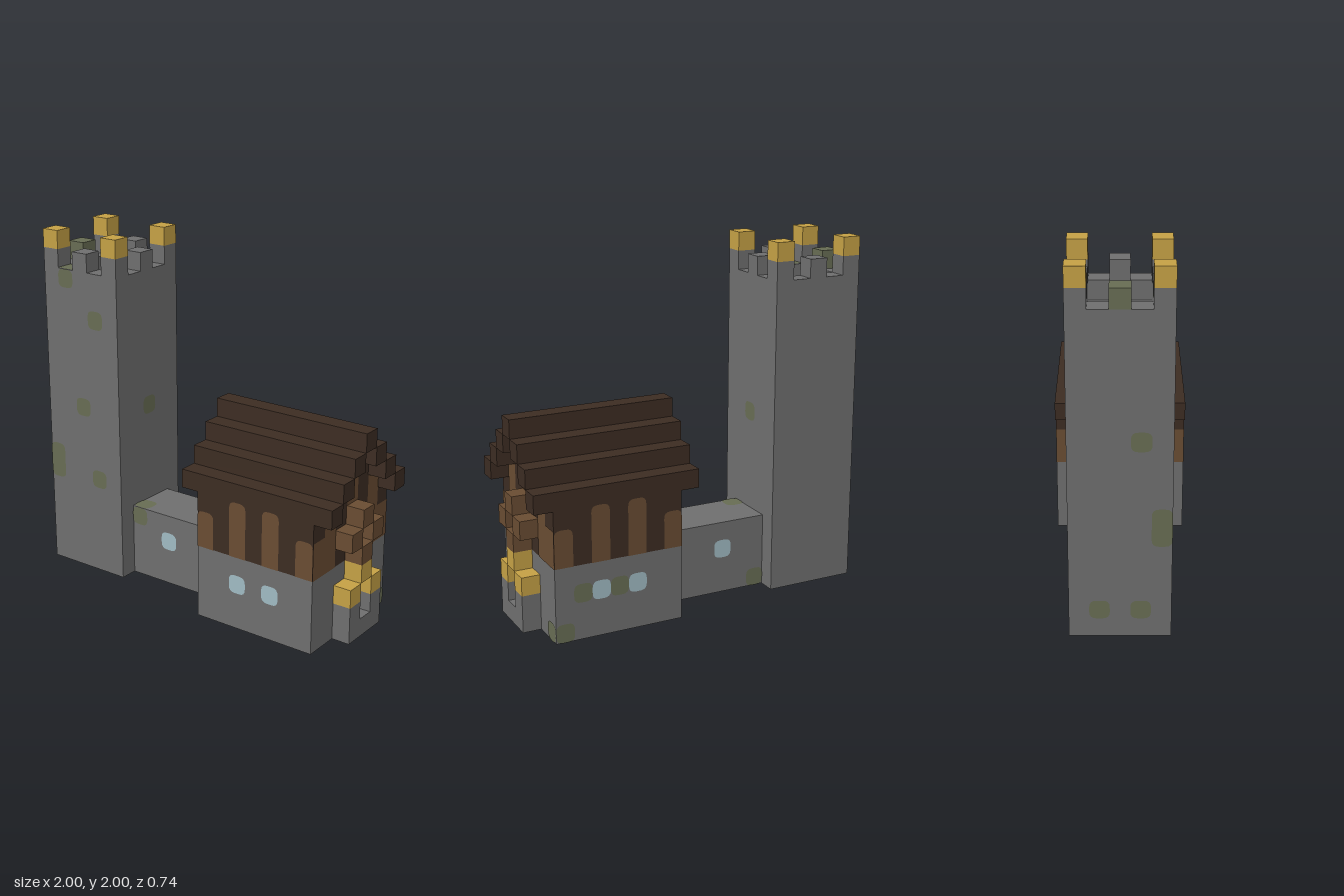
import * as THREE from 'three';

const material = (name, color) => {
  const m = new THREE.MeshStandardMaterial({ color });
  m.name = name;
  return m;
};

export function createModel() {
  const stone = material('stone', 0x6e6e6e);
  const gold = material('gold', 0xc4a045);
  const wood = material('wood', 0x694c32);
  const darkWood = material('darkWood', 0x3c2c22);
  const glass = material('glass', 0x9fbac2);
  const blue = material('blue', 0x3558ba);
  const moss = material('moss', 0x676c53);

  // Everything is laid out in blocks: 19 blocks = 2 units, x from 0 to 19, z centred.
  const model = new THREE.Group();
  model.name = 'castle';
  const blocks = new THREE.Group();
  blocks.name = 'blocks';
  blocks.scale.setScalar(2 / 19);
  blocks.position.x = -1;
  model.add(blocks);

  const box = (name, mat, x0, x1, y0, y1, z0, z1) => {
    const mesh = new THREE.Mesh(new THREE.BoxGeometry(x1 - x0, y1 - y0, z1 - z0), mat);
    mesh.position.set((x0 + x1) / 2, (y0 + y1) / 2, (z0 + z1) / 2);
    mesh.name = name;
    blocks.add(mesh);
  };
  const cube = (name, mat, x, y, z) => box(name, mat, x, x + 1, y, y + 1, z - 0.5, z + 0.5);

  // Flat panel with rounded top corners (rt) and bottom corners (rb)
  const panelShape = (w, h, rt, rb) => {
    const s = new THREE.Shape();
    const x = w / 2, y = h / 2;
    s.moveTo(-x + rb, -y);
    s.lineTo(x - rb, -y);
    s.quadraticCurveTo(x, -y, x, -y + rb);
    s.lineTo(x, y - rt);
    s.quadraticCurveTo(x, y, x - rt, y);
    s.lineTo(-x + rt, y);
    s.quadraticCurveTo(-x, y, -x, y - rt);
    s.lineTo(-x, -y + rb);
    s.quadraticCurveTo(-x, -y, -x + rb, -y);
    return s;
  };
  const turns = {
    front: [0, 0], back: [0, Math.PI], right: [0, Math.PI / 2],
    left: [0, -Math.PI / 2], top: [-Math.PI / 2, 0], bottom: [Math.PI / 2, 0],
  };
  // Panel lying just off a wall, centred on x, y, z
  const panel = (name, mat, face, x, y, z, w = 1, h = 1, rt = 0.35, rb = rt) => {
    const mesh = new THREE.Mesh(new THREE.ShapeGeometry(panelShape(w, h, rt, rb), 4), mat);
    mesh.rotation.set(turns[face][0], turns[face][1], 0);
    mesh.position.set(x, y, z);
    mesh.translateZ(0.03);
    mesh.name = name;
    blocks.add(mesh);
  };

  // Tower with a sunken roof deck
  box('towerBody', stone, 0, 5, 0, 16, -2.5, 2.5);
  for (const s of [-1, 1]) {
    box('parapet', stone, 0, 5, 16, 17, s * 2 - 0.5, s * 2 + 0.5);
    box('parapet', stone, s < 0 ? 0 : 4, s < 0 ? 1 : 5, 16, 17, -1.5, 1.5);
    panel('deckTile', blue, 'top', 1.5, 16, s, 1, 1, 0);
    cube('merlon', stone, 2, 17, s * 2);
    for (const x of [0, 4]) {
      cube('cornerMerlon', stone, x, 17, s * 2);
      cube('cornerCap', gold, x, 18, s * 2);
    }
  }
  cube('merlon', moss, 0, 17, 0);
  cube('merlon', stone, 4, 17, 0);

  // Low passage and the stone ground floor of the hall
  box('passage', stone, 5, 11, 0, 4, -1.5, 1.5);
  box('hallBase', stone, 11, 18, 0, 4, -3.5, 3.5);

  // Timber storey with stepped gables, and the stepped roof
  for (let k = -3; k <= 3; k++) {
    const top = 10 - Math.abs(k);
    box('timberWall', darkWood, 11, 18, 4, top, k - 0.5, k + 0.5);
    box('roofStep', darkWood, 10, 19, top, top + 1, k - 0.5, k + 0.5);
    // Light posts on both gables
    if (Math.abs(k) === 1) continue;
    const end = Math.abs(k) === 3 ? 6 : top;
    for (const [face, x] of [['right', 18], ['left', 11]]) {
      panel('gablePost', wood, face, x, (4 + end) / 2, k, 1, end - 4, 0);
    }
  }

  // Posts and windows on the two long sides
  for (const [face, s] of [['front', 1], ['back', -1]]) {
    for (const [x, h] of [[11, 2], [13, 3], [15, 3], [17, 2]]) {
      panel('wallPost', wood, face, x + 0.5, 4 + h / 2, s * 3.5, 1, h, 0.35, 0);
    }
    for (const x of [13.5, 15.5]) panel('hallWindow', glass, face, x, 2.5, s * 3.5);
    panel('passageWindow', glass, face, 7.5, 2.5, s * 1.5);
  }

  // Entrance: step, pillars, golden arch and door
  box('step', stone, 18, 19, 0, 1, -1.5, 1.5);
  panel('door', wood, 'right', 18, 2, 0, 1, 2, 0);
  cube('archTop', gold, 18, 3, 0);
  for (const s of [-1, 1]) {
    cube('pillar', stone, 18, 1, s);
    cube('archSide', gold, 18, 2, s);
    cube('windowFrameSide', wood, 18, 5, s);
  }
  // Gable window and its frame
  cube('windowFrameBottom', wood, 18, 4, 0);
  cube('windowFrameTop', wood, 18, 6, 0);
  panel('gableWindow', glass, 'right', 18.03, 5.5, 0, 1, 1, 0);

  // Moss patches: front and back by [x, y, z plane], ends by [y, z]
  for (const [x, y, z] of [[1, 16, 2.5], [3, 14, 2.5], [2, 9, 2.5], [3, 5, 2.5], [5, 3, 1.5], [10, 2, 1.5]]) {
    panel('mossPatch', moss, 'front', x + 0.5, y + 0.5, z);
  }
  panel('mossPatch', moss, 'front', 0.5, 6, 2.5, 1, 2);
  for (const [x, y, z] of [[17, 0, -3.5], [16, 2, -3.5], [14, 2, -3.5], [5, 0, -1.5]]) {
    panel('mossPatch', moss, 'back', x + 0.5, y + 0.5, z);
  }
  for (const [y, z] of [[10, 1], [1, -1], [1, 1]]) panel('mossPatch', moss, 'left', 0, y + 0.5, z);
  panel('mossPatch', moss, 'left', 0, 6, 2, 1, 2);
  panel('mossPatch', moss, 'right', 5, 9.5, 0);
  panel('mossPatch', moss, 'right', 18, 0.5, -3);
  panel('mossPatch', moss, 'top', 1.5, 17, 2, 1, 1, 0);
  panel('mossPatch', moss, 'top', 5.5, 4, 1);
  panel('baseSpot', darkWood, 'bottom', 1.5, 0, 1, 0.5, 0.5, 0.25);

  return model;
}
